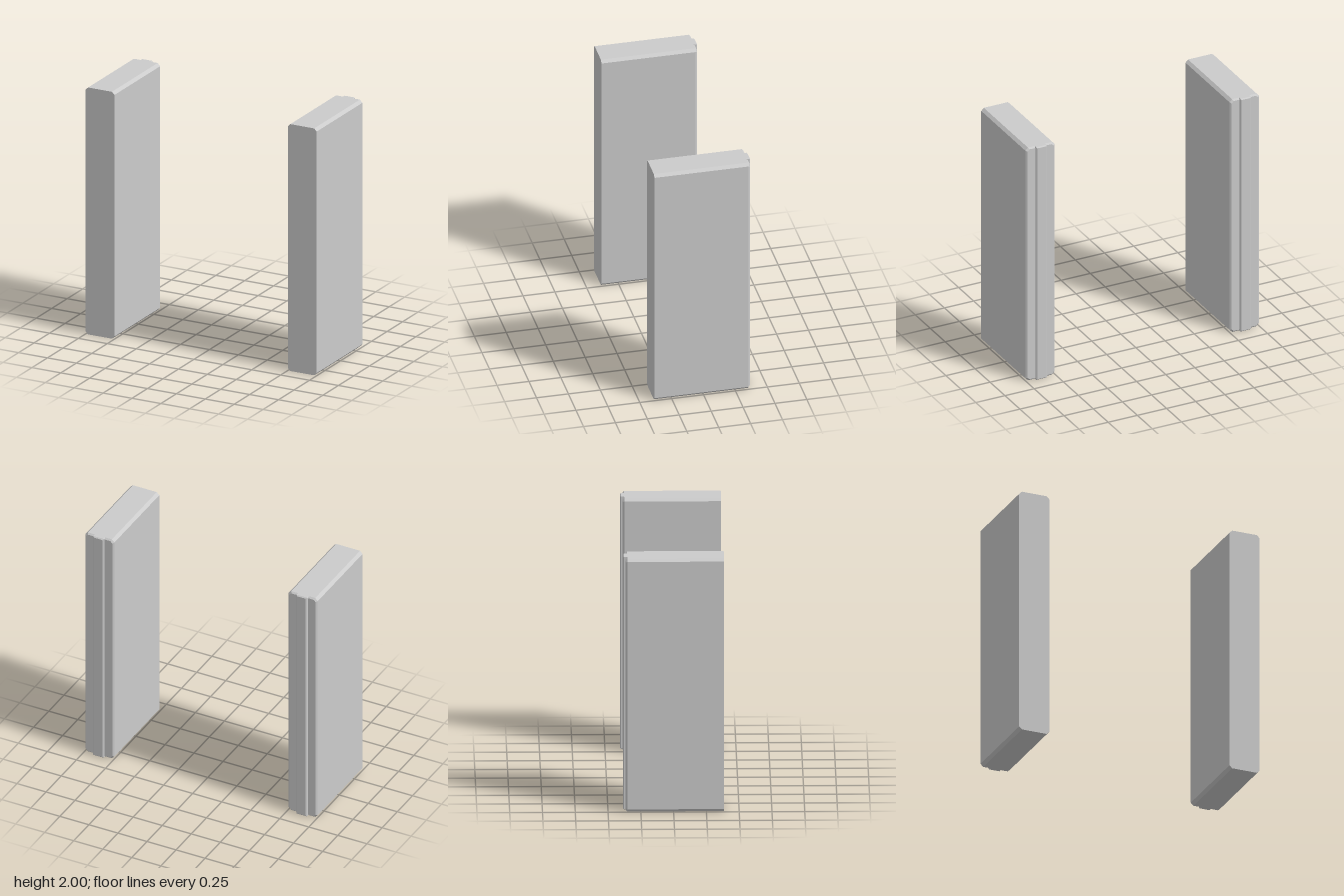
import * as THREE from 'three';

const material = new THREE.MeshStandardMaterial({ color: 0xcccccc, flatShading: true });

// Upright octagon (rectangle with cut corners), centred on y = 1, counter-clockwise from +z
function ring(halfW, halfH, cut, z) {
  const w = halfW, h = halfH, c = cut;
  return [[w, c - h], [w, h - c], [w - c, h], [c - w, h], [-w, h - c], [-w, c - h], [c - w, -h], [w - c, -h]]
    .map(([x, y]) => new THREE.Vector3(x, y + 1, z));
}

// Closed solid through rings ordered from front to back
function loft(rings) {
  const points = [];
  const tri = (a, b, c) => points.push(a, b, c);
  const n = rings[0].length;
  for (let r = 0; r < rings.length - 1; r++) {
    for (let i = 0; i < n; i++) {
      const j = (i + 1) % n, f = rings[r], k = rings[r + 1];
      tri(f[i], k[i], k[j]);
      tri(f[i], k[j], f[j]);
    }
  }
  const front = rings[0], back = rings[rings.length - 1];
  for (let i = 1; i < n - 1; i++) {
    tri(front[0], front[i], front[i + 1]);
    tri(back[0], back[i + 1], back[i]);
  }
  const geometry = new THREE.BufferGeometry().setFromPoints(points);
  geometry.computeVertexNormals();
  return geometry;
}

export function createModel() {
  const model = new THREE.Group();
  model.name = 'sidePanels';

  // Slab: bevelled long edges, smaller bevel round the back
  const slab = loft([
    ring(0.125, 1, 0.022, 0.385),
    ring(0.125, 1, 0.022, -0.353),
    ring(0.113, 0.988, 0.017, -0.365),
  ]);
  // Raised strip down the middle of the back
  const tongue = loft([
    ring(0.046, 1, 0.003, -0.345),
    ring(0.046, 1, 0.003, -0.377),
    ring(0.038, 0.992, 0.003, -0.385),
  ]);

  for (const [side, sign] of [['left', 1], ['right', -1]]) {
    const panel = new THREE.Group();
    panel.name = side + 'Panel';
    panel.position.x = sign * 0.875;
    for (const [name, geometry] of [['Slab', slab], ['BackTongue', tongue]]) {
      const mesh = new THREE.Mesh(geometry, material);
      mesh.name = side + name;
      panel.add(mesh);
    }
    model.add(panel);
  }
  return model;
}
